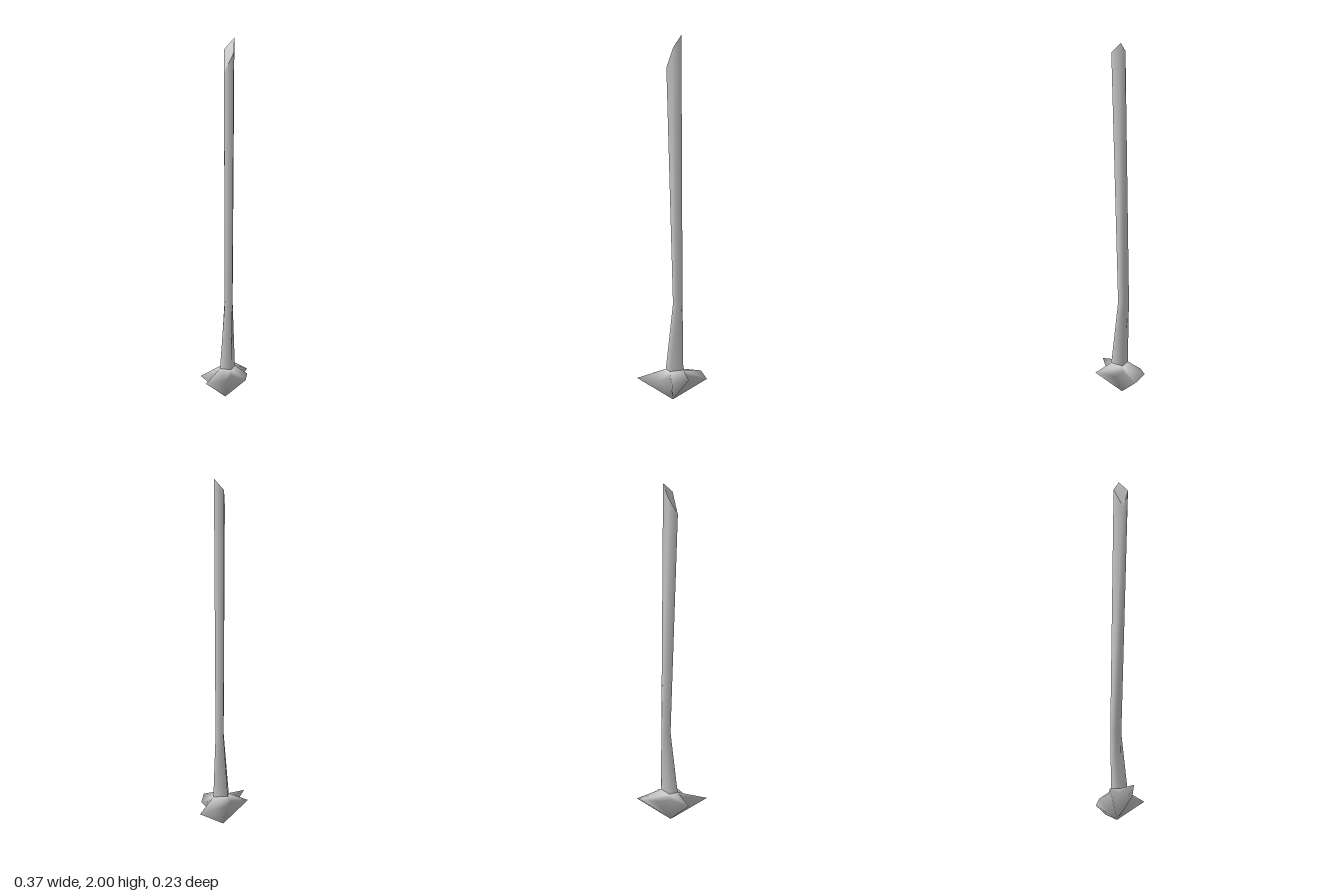
import * as THREE from 'three';

const material = new THREE.MeshStandardMaterial({ color: 0xcccccc, side: THREE.DoubleSide });

// Smooth mesh from points and indexed triangles
function surface(name, points, faces) {
  const geometry = new THREE.BufferGeometry();
  geometry.setAttribute('position', new THREE.Float32BufferAttribute(points.flat(), 3));
  geometry.setIndex(faces.flat());
  geometry.computeVertexNormals();
  const mesh = new THREE.Mesh(geometry, material);
  mesh.name = name;
  return mesh;
}

export function createModel() {
  const group = new THREE.Group();
  group.name = 'stake';

  // Four-sided shaft: corners run left, front, right, back in each section
  const base = [[-0.033, 0.165, -0.04], [-0.01, 0.165, 0.018], [0.06, 0.165, -0.018], [0.005, 0.165, -0.07]];
  const waist = [[0.005, 0.52, -0.04], [0.027, 0.52, -0.006], [0.056, 0.52, -0.03], [0.032, 0.52, -0.066]];
  const tip = [[-0.03, 1.82, -0.014], [0.005, 1.935, 0.024], [0.05, 2, -0.012], [0.015, 1.935, -0.053]];
  const sides = [];
  for (let s = 0; s < 2; s++) {
    for (let i = 0; i < 4; i++) {
      const a = s * 4 + i, b = s * 4 + (i + 1) % 4;
      sides.push([a, b, b + 4], [a, b + 4, a + 4]);
    }
  }
  group.add(surface('shaft', [...base, ...waist, ...tip], sides));

  // Slanted cut at the top
  group.add(surface('slantedTop', tip, [[0, 1, 3], [1, 2, 3]]));

  // Root outline, each point with the shaft corner it grows from
  const outline = [
    [-0.035, 0.14, -0.04, 0],  // valley
    [-0.185, 0.125, -0.003, 0], // left-hand spike
    [-0.065, 0.115, 0.026, 0],
    [-0.015, 0.135, 0.02, 1],  // valley
    [0, 0.125, 0.113, 1],      // front root
    [0.09, 0.125, 0.043, 2],
    [0.065, 0.135, -0.02, 2],  // valley
    [0.185, 0.11, -0.043, 2],  // broad root
    [0.153, 0.14, -0.108, 2],
    [0.07, 0.14, -0.117, 3],
    [-0.005, 0.14, -0.087, 3], // valley
    [-0.105, 0.125, -0.112, 3], // back spike
  ];
  const n = outline.length, apex = 4 + n;
  const points = [...base, ...outline.map((p) => p.slice(0, 3)), [0.005, 0, -0.037]];
  const faces = [];
  outline.forEach((p, i) => {
    const j = (i + 1) % n, a = 4 + i, b = 4 + j;
    const ca = p[3], cb = outline[j][3];
    faces.push([a, b, cb], [apex, b, a]);
    if (ca !== cb) faces.push([a, cb, ca]);
  });
  group.add(surface('roots', points, faces));

  return group;
}
